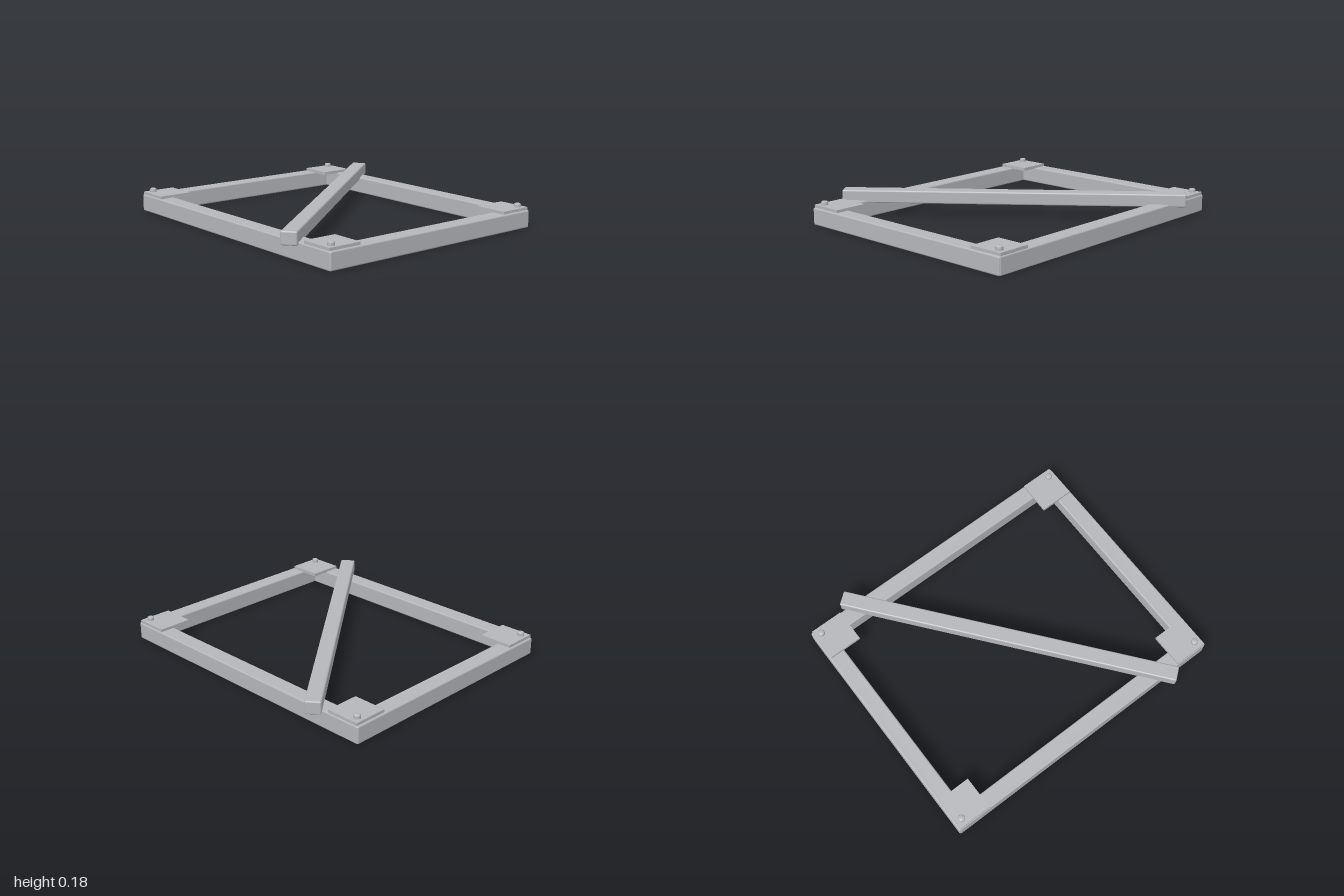
import * as THREE from 'three';
import { RoundedBoxGeometry } from 'three/addons/geometries/RoundedBoxGeometry.js';

export function createModel() {
  const model = new THREE.Group();
  const steel = new THREE.MeshStandardMaterial({ color: 0xb4b6ba });
  steel.name = 'brushed grey steel';

  const add = (name, geometry, x, y, z) => {
    const mesh = new THREE.Mesh(geometry, steel);
    mesh.name = name;
    mesh.position.set(x, y, z);
    model.add(mesh);
    return mesh;
  };
  const beam = (w, h, d) => new RoundedBoxGeometry(w, h, d, 2, 0.01);

  // Rectangular frame: two long rails and two side rails
  const longRail = beam(1.99, 0.113, 0.11);
  const sideRail = beam(0.11, 0.113, 1.63);
  for (const s of [1, -1]) {
    add(s > 0 ? 'frontRail' : 'backRail', longRail, 0, 0.0565, s * 0.763);
    add(s > 0 ? 'leftRail' : 'rightRail', sideRail, s * 0.945, 0.0565, 0);
  }

  // Corner plates, each held by a domed bolt
  const plate = new THREE.BoxGeometry(0.222, 0.022, 0.224);
  const profile = [[0.022, 0], [0.022, 0.018], [0.02, 0.022], [0.013, 0.026], [0, 0.027]];
  const bolt = new THREE.LatheGeometry(profile.map(([r, y]) => new THREE.Vector2(r, y)), 20);
  for (const sx of [1, -1]) {
    for (const sz of [1, -1]) {
      const corner = (sz > 0 ? 'front' : 'back') + (sx > 0 ? 'Left' : 'Right');
      add(corner + 'Plate', plate, sx * 0.876, 0.12, sz * 0.7);
      add(corner + 'Bolt', bolt, sx * 0.944, 0.13, sz * 0.764);
    }
  }

  // Diagonal brace lying across the frame
  const brace = add('diagonalBrace', beam(0.1, 0.085, 2.24), 0, 0.138, 0);
  brace.rotation.y = Math.atan2(1.405, 1.74);

  return model;
}
